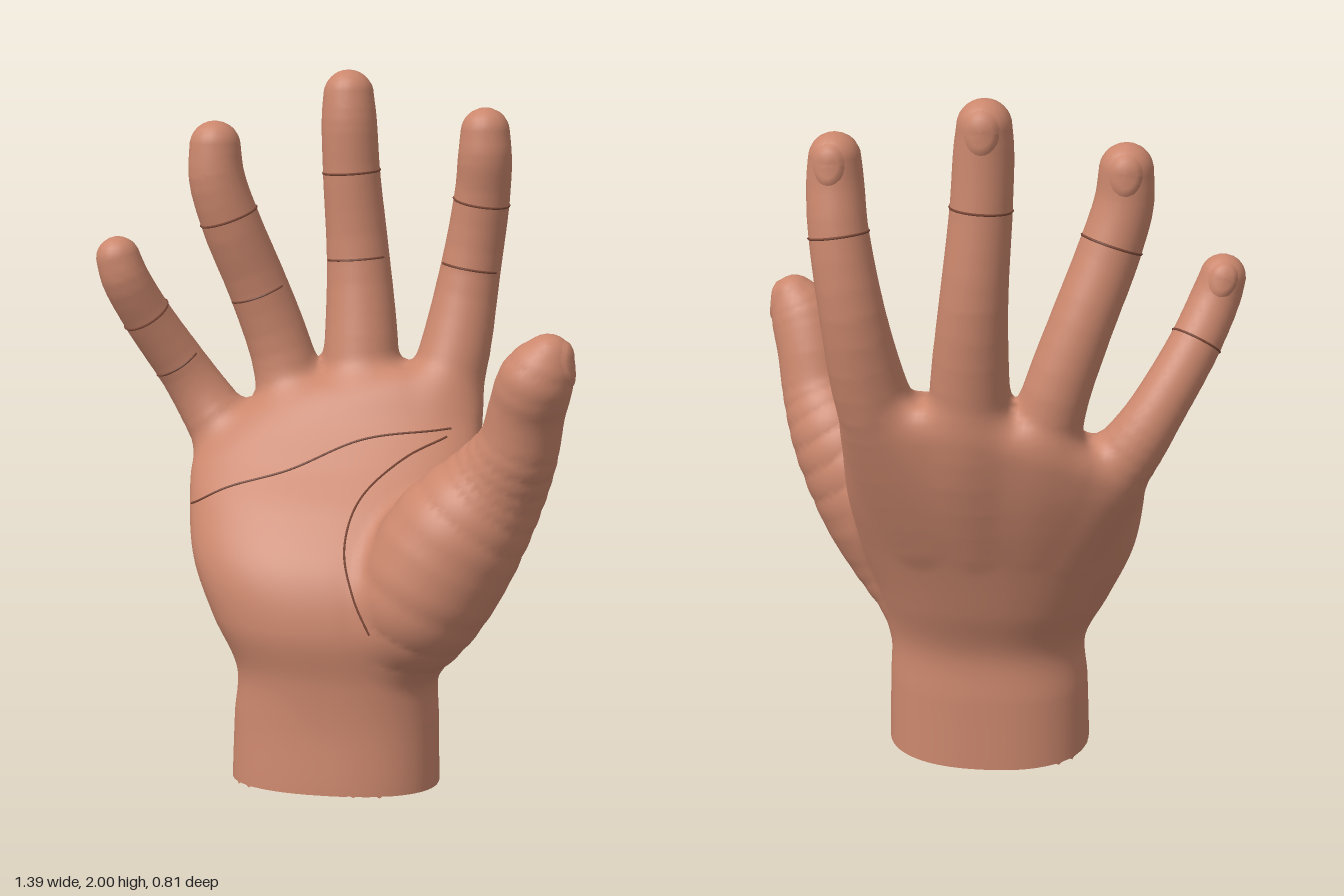
import * as THREE from 'three';

const V = (x, y, z) => new THREE.Vector3(x, y, z);
const SKIN = new THREE.MeshStandardMaterial({ color: 0xcb876d, side: THREE.DoubleSide });
SKIN.name = 'skin';
const CREASE = new THREE.MeshStandardMaterial({ color: 0x7d4a39, side: THREE.DoubleSide });
CREASE.name = 'crease';

// Digits as chains from inside the palm to the tip: [x, y, z, radius]
const DIGITS = {
  index: [[0.17, 0.75, -0.13, 0.09], [0.25, 1.0, -0.205, 0.11], [0.3, 1.18, -0.265, 0.103], [0.34, 1.42, -0.315, 0.088],
    [0.375, 1.65, -0.305, 0.08], [0.383, 1.76, -0.285, 0.077], [0.383, 1.83, -0.285, 0.07]],
  middle: [[0.02, 0.75, -0.14, 0.09], [0.03, 1.0, -0.225, 0.115], [0.03, 1.2, -0.27, 0.108], [0.014, 1.45, -0.312, 0.092],
    [-0.006, 1.7, -0.31, 0.083], [-0.013, 1.85, -0.308, 0.08], [-0.016, 1.928, -0.315, 0.073]],
  ring: [[-0.12, 0.75, -0.13, 0.085], [-0.16, 1.0, -0.205, 0.1], [-0.195, 1.17, -0.235, 0.092], [-0.265, 1.38, -0.215, 0.087],
    [-0.33, 1.56, -0.172, 0.085], [-0.37, 1.7, -0.152, 0.08], [-0.375, 1.79, -0.155, 0.073]],
  little: [[-0.22, 0.72, -0.1, 0.085], [-0.345, 0.94, -0.165, 0.098], [-0.42, 1.05, -0.18, 0.085], [-0.475, 1.14, -0.165, 0.076],
    [-0.565, 1.3, -0.1, 0.071], [-0.617, 1.42, -0.048, 0.068], [-0.635, 1.478, -0.042, 0.063]],
  thumb: [[0.19, 0.43, 0.13, 0.14], [0.27, 0.58, 0.19, 0.185], [0.355, 0.74, 0.19, 0.192], [0.47, 0.9, 0.2, 0.145],
    [0.54, 1.03, 0.25, 0.112], [0.565, 1.14, 0.278, 0.103], [0.59, 1.225, 0.31, 0.1], [0.622, 1.29, 0.315, 0.065]],
};

// Wrist and palm sections: [y, left x, right x, back z, front z]
const PALM = [
  [-0.1, -0.278, 0.317, -0.118, 0.33], [0, -0.276, 0.316, -0.116, 0.328], [0.2, -0.27, 0.312, -0.11, 0.31],
  [0.35, -0.263, 0.31, -0.108, 0.312], [0.5, -0.335, 0.34, -0.165, 0.33], [0.65, -0.4, 0.38, -0.22, 0.29],
  [0.8, -0.43, 0.4, -0.28, 0.18], [0.92, -0.435, 0.4, -0.32, 0.06], [1.05, -0.39, 0.39, -0.35, -0.05],
  [1.18, -0.3, 0.37, -0.365, -0.11], [1.3, -0.25, 0.36, -0.37, -0.13],
];

// Smooth each chain into short tapered segments
function sampleChain(rows) {
  const path = new THREE.CatmullRomCurve3(rows.map(r => V(r[0], r[1], r[2])));
  const radii = new THREE.CatmullRomCurve3(rows.map(r => V(r[3], 0, 0)), false, 'catmullrom');
  const n = 20;
  return Array.from({ length: n + 1 }, (_, i) => ({ p: path.getPoint(i / n), r: radii.getPoint(i / n).x }));
}
const CHAINS = Object.fromEntries(Object.entries(DIGITS).map(([k, rows]) => [k, sampleChain(rows)]));
const CHAIN_LIST = Object.values(CHAINS);

function chainDistance(chain, x, y, z) {
  let best = 1e9;
  for (let i = 0; i + 1 < chain.length; i++) {
    const a = chain[i], b = chain[i + 1];
    const dx = b.p.x - a.p.x, dy = b.p.y - a.p.y, dz = b.p.z - a.p.z;
    const px = x - a.p.x, py = y - a.p.y, pz = z - a.p.z;
    const t = Math.min(1, Math.max(0, (px * dx + py * dy + pz * dz) / (dx * dx + dy * dy + dz * dz)));
    const ex = px - t * dx, ey = py - t * dy, ez = pz - t * dz;
    best = Math.min(best, Math.sqrt(ex * ex + ey * ey + ez * ez) - a.r - t * (b.r - a.r));
  }
  return best;
}

function smoothMin(a, b, k) {
  const h = Math.max(k - Math.abs(a - b), 0) / k;
  return Math.min(a, b) - h * h * k / 4;
}

// One palm measurement at height y, eased between the sections
function palmAt(y, c) {
  const last = PALM.length - 2;
  const yy = Math.min(Math.max(y, PALM[0][0]), PALM[last + 1][0]);
  let i = 0;
  while (i < last && PALM[i + 1][0] < yy) i++;
  const slope = j => {
    const a = PALM[Math.max(j - 1, 0)], b = PALM[Math.min(j + 1, last + 1)];
    return (b[c] - a[c]) / (b[0] - a[0]);
  };
  const A = PALM[i], B = PALM[i + 1], w = B[0] - A[0], t = (yy - A[0]) / w, s = t * t * (3 - 2 * t);
  return A[c] + (B[c] - A[c]) * s + w * (slope(i) * t * (1 - t) * (1 - t) - slope(i + 1) * t * t * (1 - t));
}

function palmDistance(x, y, z) {
  const l = palmAt(y, 1), r = palmAt(y, 2), b = palmAt(y, 3), f = palmAt(y, 4);
  const px = x - (l + r) / 2, pz = z - (b + f) / 2;
  const n = 2.3;
  const k = Math.pow(Math.pow(Math.abs(px) / ((r - l) / 2), n) + Math.pow(Math.abs(pz) / ((f - b) / 2), n), 1 / n);
  const side = Math.hypot(px, pz) * (1 - 1 / Math.max(k, 1e-3));
  const top = y - (1.16 - 0.6 * (x - 0.15) ** 2);
  return -smoothMin(-side, -top, 0.1);
}

// The whole hand: palm softly joined with the five digits
function hand(x, y, z) {
  let d = palmDistance(x, y, z);
  for (const chain of CHAIN_LIST) d = smoothMin(d, chainDistance(chain, x, y, z), 0.045);
  return d;
}

function gradient(p) {
  const e = 0.008;
  return V(hand(p.x + e, p.y, p.z) - hand(p.x - e, p.y, p.z), hand(p.x, p.y + e, p.z) - hand(p.x, p.y - e, p.z),
    hand(p.x, p.y, p.z + e) - hand(p.x, p.y, p.z - e)).divideScalar(2 * e);
}

// The cut wrist edge is a little higher at the front
const tiltRim = p => { p.y += 0.09 * (p.z + 0.115) * Math.max(0, 1 - p.y / 0.35); return p; };

// Skin the hand by placing one vertex in every grid cell the surface crosses
function skinGeometry() {
  const h = 0.018, min = [-0.76, -h / 2, -0.47], N = [86, 115, 54];
  const step = [1, N[0], N[0] * N[1]], total = N[0] * N[1] * N[2];
  const field = new Float32Array(total), cell = new Int32Array(total).fill(-1);
  const each = (from, to, fn) => {
    for (let k = from; k < N[2] - to; k++) for (let j = 0; j < N[1] - to; j++) for (let i = from; i < N[0] - to; i++)
      fn([i, j, k], i + j * step[1] + k * step[2]);
  };
  each(0, 0, (g, id) => { field[id] = hand(min[0] + g[0] * h, min[1] + g[1] * h, min[2] + g[2] * h); });
  const positions = [], normals = [], indices = [];
  each(0, 1, (g, id) => {
    const sum = [0, 0, 0];
    let hits = 0;
    for (let axis = 0; axis < 3; axis++) {
      const b = (axis + 1) % 3, c = (axis + 2) % 3;
      for (let m = 0; m < 4; m++) {
        const u = m & 1, v = m >> 1, s = id + u * step[b] + v * step[c];
        const f0 = field[s], f1 = field[s + step[axis]];
        if ((f0 < 0) === (f1 < 0)) continue;
        sum[axis] += f0 / (f0 - f1); sum[b] += u; sum[c] += v; hits++;
      }
    }
    if (!hits) return;
    const p = V(...sum.map((s, a) => min[a] + (g[a] + s / hits) * h));
    const slope = gradient(p);
    p.addScaledVector(slope, -hand(p.x, p.y, p.z) / Math.max(slope.lengthSq(), 0.3));
    const n = gradient(p).normalize();
    cell[id] = positions.length / 3;
    tiltRim(p);
    positions.push(p.x, p.y, p.z);
    normals.push(n.x, n.y, n.z);
  });
  each(1, 1, (g, id) => {
    for (let axis = 0; axis < 3; axis++) {
      if (axis !== 1 && g[1] === 0) continue;
      const inside = field[id] < 0;
      if (inside === (field[id + step[axis]] < 0)) continue;
      const b = step[(axis + 1) % 3], c = step[(axis + 2) % 3];
      const q = [cell[id - b - c], cell[id - c], cell[id], cell[id - b]];
      if (!inside) q.reverse();
      indices.push(q[0], q[1], q[2], q[0], q[2], q[3]);
    }
  });
  const geo = new THREE.BufferGeometry();
  geo.setAttribute('position', new THREE.Float32BufferAttribute(positions, 3));
  geo.setAttribute('normal', new THREE.Float32BufferAttribute(normals, 3));
  geo.setIndex(indices);
  return geo;
}

// Walk from a point inside the hand out to the skin
function toSkin(origin, dir) {
  const p = origin.clone();
  for (let i = 0; i < 40; i++) p.addScaledVector(dir, -0.7 * hand(p.x, p.y, p.z));
  return p;
}

function creaseMesh(points, name, closed = false) {
  const curve = new THREE.CatmullRomCurve3(points, closed);
  const mesh = new THREE.Mesh(new THREE.TubeGeometry(curve, 40, 0.0035, 5, closed), CREASE);
  mesh.name = name;
  return mesh;
}

function palmCrease(pts, name) {
  const line = new THREE.CatmullRomCurve3(pts.map(([x, y]) => V(x, y, -0.08)));
  return creaseMesh(line.getPoints(24).map(p => toSkin(p, V(0, 0, 1))), name);
}

// Line around a finger at height y: the front only, or all the way round
function fingerCrease(digit, y, full) {
  const chain = CHAINS[digit];
  const i = chain.findIndex(s => s.p.y > y), a = chain[i - 1].p, b = chain[i].p;
  const centre = a.clone().lerp(b, (y - a.y) / (b.y - a.y)), along = b.clone().sub(a).normalize();
  const side = along.clone().cross(V(0, 0, 1)).normalize(), front = side.clone().cross(along);
  const count = 16, points = [];
  for (let k = 0; k < (full ? count : count + 1); k++) {
    const t = full ? k / count * Math.PI * 2 : (k / count - 0.5) * 2.2;
    points.push(toSkin(centre, front.clone().multiplyScalar(Math.cos(t)).addScaledVector(side, Math.sin(t)).normalize()));
  }
  return creaseMesh(points, digit + 'Crease', full);
}

// Thin oval plate wrapped on the back of a fingertip
function nail(digit, normal, size) {
  const chain = CHAINS[digit], tip = chain[20].p;
  const n = V(...normal).normalize(), up = tip.clone().sub(chain[17].p);
  up.addScaledVector(n, -up.dot(n)).normalize();
  const side = up.clone().cross(n), geo = new THREE.RingGeometry(0, 1, 24, 5), pos = geo.attributes.position;
  for (let i = 0; i < pos.count; i++) {
    const u = pos.getX(i), v = pos.getY(i), rim = Math.hypot(u, v) > 0.95;
    const start = tip.clone().addScaledVector(side, u * size).addScaledVector(up, v * size * 1.25 - 0.015);
    const p = toSkin(start, n).addScaledVector(n, rim ? -0.003 : 0.005);
    pos.setXYZ(i, p.x, p.y, p.z);
  }
  geo.computeVertexNormals();
  const mesh = new THREE.Mesh(geo, SKIN);
  mesh.name = digit + 'Nail';
  return mesh;
}

export function createModel() {
  const group = new THREE.Group();
  group.name = 'openHand';
  const skin = new THREE.Mesh(skinGeometry(), SKIN);
  skin.name = 'palmAndFingers';
  group.add(skin);
  group.add(palmCrease([[-0.41, 0.79], [-0.3, 0.85], [-0.12, 0.905], [0.08, 0.985], [0.32, 1.01]], 'upperPalmCrease'));
  group.add(palmCrease([[0.31, 0.99], [0.2, 0.94], [0.09, 0.84], [0.065, 0.73], [0.1, 0.61], [0.15, 0.51]], 'thumbCrease'));
  for (const [digit, lower, upper] of [['index', 1.44, 1.63], ['middle', 1.46, 1.71], ['ring', 1.37, 1.59], ['little', 1.17, 1.31]])
    group.add(fingerCrease(digit, lower, false), fingerCrease(digit, upper, true));
  for (const [digit, normal, size] of [['index', [0.1, 0.15, -1], 0.047], ['middle', [0, 0.15, -1], 0.05],
    ['ring', [-0.05, 0.2, -1], 0.048], ['little', [-0.15, 0.4, -1], 0.042], ['thumb', [1, 0.05, 0.15], 0.055]])
    group.add(nail(digit, normal, size));
  return group;
}
